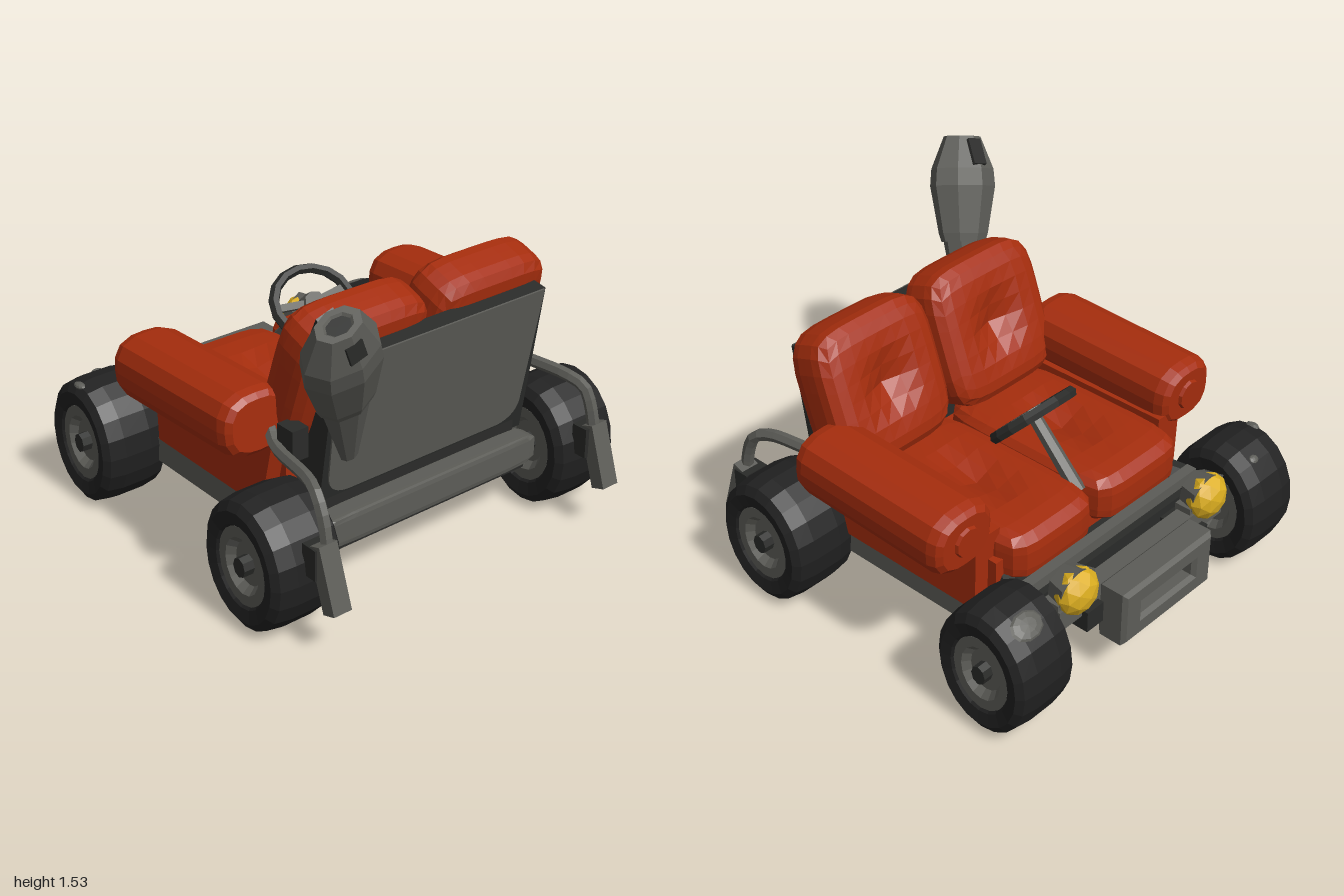
import * as THREE from 'three';

const mat = (name, color) => Object.assign(new THREE.MeshStandardMaterial({ color, flatShading: true }), { name });

export function createModel() {
  const red = mat('orange red upholstery', 0xa52d0d);
  const grey = mat('grey metal', 0x5c5c57);
  const tyreBlack = mat('tyre black', 0x212121);
  const dark = mat('dark frame', 0x2a2b29);
  const yellow = mat('lamp yellow', 0xdcae20);
  const root = new THREE.Group();

  const add = (name, geo, m, x = 0, y = 0, z = 0, parent = root) => {
    const mesh = new THREE.Mesh(geo, m);
    mesh.name = name;
    mesh.position.set(x, y, z);
    parent.add(mesh);
    return mesh;
  };
  const group = (name, x = 0, y = 0, z = 0) => {
    const g = new THREE.Group();
    g.name = name;
    g.position.set(x, y, z);
    root.add(g);
    return g;
  };
  const box = (w, h, d) => new THREE.BoxGeometry(w, h, d);
  const lathe = (pts, sides) => new THREE.LatheGeometry(pts.map(p => new THREE.Vector2(...p)), sides);

  // Puffed box, with an optional tufted dimple in its top face
  const cushion = (w, h, d, n = 6, dent = 0) => {
    const geo = new THREE.BoxGeometry(2, 2, 2, 8, 6, 8);
    const p = geo.attributes.position;
    for (let i = 0; i < p.count; i++) {
      const c = [p.getX(i), p.getY(i), p.getZ(i)];
      const k = Math.pow(c.reduce((s, v) => s + Math.abs(v) ** n, 0), -1 / n);
      const [x, y, z] = c.map(v => v * k);
      const dip = c[1] > 0.9 ? dent * Math.exp(-(x * x + z * z) * 9) : 0;
      p.setXYZ(i, x * w / 2, y * h / 2 - dip, z * d / 2);
    }
    return geo;
  };

  // Cylinder between two points
  const rod = (name, a, b, r1, r2, sides, m) => {
    const va = new THREE.Vector3(...a), dir = new THREE.Vector3(...b).sub(va);
    const mesh = add(name, new THREE.CylinderGeometry(r2, r1, dir.length(), sides), m);
    mesh.position.copy(va).addScaledVector(dir, 0.5);
    mesh.quaternion.setFromUnitVectors(new THREE.Vector3(0, 1, 0), dir.normalize());
    return mesh;
  };

  // Wheels: tyre, recessed rim and hub
  const tyreGeo = lathe([[0.165, -0.14], [0.19, -0.165], [0.25, -0.175], [0.287, -0.15], [0.3, -0.07],
    [0.3, 0.07], [0.287, 0.15], [0.25, 0.175], [0.19, 0.165], [0.165, 0.14]], 20);
  const rimGeo = lathe([[0, -0.12], [0.1, -0.12], [0.13, -0.155], [0.18, -0.155],
    [0.18, 0.155], [0.13, 0.155], [0.1, 0.12], [0, 0.12]], 16);
  const hubGeo = new THREE.CylinderGeometry(0.045, 0.05, 0.34, 8);
  const wheel = (name, x, z, sx, sz) => {
    const g = group(name, x, 0.305, z);
    g.scale.set(sx, 1, sz);
    [['tyre', tyreGeo, tyreBlack], ['rim', rimGeo, grey], ['hub', hubGeo, dark]].forEach(([n, geo, m]) => {
      add(n, geo, m, 0, 0, 0, g).rotation.z = -Math.PI / 2 * Math.sign(x);
    });
  };
  for (const s of [-1, 1]) {
    wheel('rearWheel', s * 0.78, 0.5, 1, 0.86);
    wheel('frontWheel', s * 0.75, -0.757, 0.94, 0.81);
  }
  for (const z of [0.5, -0.757]) rod('axle', [-0.7, 0.305, z], [0.7, 0.305, z], 0.045, 0.045, 8, dark);

  // Worn patches on the front tyres
  for (const [x, y, z, rx, rz] of [[0.77, 0.552, -0.887, 0.085, 0.06], [-0.72, 0.552, -0.885, 0.028, 0.022],
    [-0.885, 0.588, -0.757, 0.022, 0.035]]) {
    const patch = add('tyrePatch', new THREE.SphereGeometry(1, 10, 6), grey, x, y, z);
    patch.scale.set(rx, 0.014, rz);
    patch.rotation.x = z < -0.8 ? -0.69 : 0;
  }

  // Chassis
  add('floorPan', box(0.92, 0.1, 0.76), grey, 0, 0.28, -0.17);
  add('rearFloor', box(1.12, 0.12, 0.24), dark, 0, 0.3, 0.45);
  add('frontFrame', box(0.96, 0.16, 0.18), dark, 0, 0.34, -0.62);
  add('rearBumper', cushion(1.2, 0.14, 0.12, 10), grey, 0.01, 0.335, 0.54);
  add('frontCrossbar', box(1.1, 0.05, 0.05), grey, 0, 0.48, -0.68);
  add('lampBar', box(1.08, 0.1, 0.08), grey, 0, 0.4, -0.82);
  for (const s of [-1, 1]) {
    add('sideRail', box(0.1, 0.12, 0.84), grey, s * 0.59, 0.28, -0.13);
    add('frontRail', box(0.1, 0.1, 0.22), dark, s * 0.35, 0.33, -0.78);
    rod('frontStrut', [s * 0.52, 0.45, -0.55], [s * 0.62, 0.4, -0.72], 0.05, 0.04, 6, dark);
  }

  // Front bumper block with a slot
  const rect = (T, w, h) => {
    const s = new T();
    s.moveTo(-w, -h); s.lineTo(w, -h); s.lineTo(w, h); s.lineTo(-w, h); s.closePath();
    return s;
  };
  const face = rect(THREE.Shape, 0.275, 0.115);
  face.holes.push(rect(THREE.Path, 0.19, 0.055));
  add('frontBumper', new THREE.ExtrudeGeometry(face, {
    depth: 0.11, bevelSize: 0.018, bevelThickness: 0.018, bevelSegments: 1
  }), grey, 0, 0.325, -0.98);
  add('bumperSlot', box(0.44, 0.15, 0.03), dark, 0, 0.325, -0.9);

  // Headlights
  for (const s of [-1, 1]) {
    const x = s * 0.43;
    rod('lampHousing', [x, 0.5, -0.855], [x, 0.51, -0.77], 0.118, 0.09, 6, grey);
    add('lamp', new THREE.IcosahedronGeometry(0.108, 1), yellow, x, 0.5, -0.852).scale.z = 0.72;
    add('lampBracket', box(0.22, 0.1, 0.08), grey, x, 0.43, -0.81);
  }

  // Sofa base, seats and backrest
  add('sofaBase', box(1.16, 0.24, 0.88), red, 0.01, 0.45, -0.12);
  add('backSupport', box(1.06, 0.5, 0.19), dark, 0.02, 0.58, 0.405);
  for (const [x, w] of [[-0.25, 0.57], [0.3, 0.53]])
    add('seatCushion', cushion(w, 0.24, 0.95, 6, 0.06), red, x, 0.565, -0.18);
  for (const [x, w] of [[-0.28, 0.65], [0.385, 0.64]]) {
    const g = group('backCushion', x, 0.95, 0.345);
    g.rotation.x = 0.34;
    add('backPad', cushion(w, 0.27, 0.65, 5, 0.08), red, 0, 0, 0, g).rotation.x = -Math.PI / 2;
  }

  // Armrests: flat-ended rolls over slanted side panels
  const panelShape = new THREE.Shape([[-0.24, 0.34], [0.51, 0.34], [0.52, 0.7], [-0.33, 0.7]]
    .map(p => new THREE.Vector2(...p)));
  const panelGeo = new THREE.ExtrudeGeometry(panelShape, { depth: 0.14, bevelEnabled: false });
  panelGeo.translate(0, 0, -0.07).rotateY(Math.PI / 2);
  const rollGeo = lathe([[0, -0.42], [0.78, -0.42], [0.93, -0.4], [1, -0.36],
    [1, 0.36], [0.93, 0.4], [0.78, 0.42], [0, 0.42]], 16);
  // Square the round section off a little
  const rp = rollGeo.attributes.position;
  for (let i = 0; i < rp.count; i++) {
    const x = rp.getX(i), z = rp.getZ(i), r = Math.hypot(x, z);
    const k = r > 0 ? r / Math.pow(Math.abs(x) ** 2.8 + Math.abs(z) ** 2.8, 1 / 2.8) : 1;
    rp.setXYZ(i, x * k * 0.17, rp.getY(i), z * k * 0.146);
  }
  rollGeo.rotateX(-Math.PI / 2);
  for (const s of [-1, 1]) {
    add('sidePanel', panelGeo, red, 0.01 + s * 0.585, 0, 0);
    const g = group('armrest', 0.02 + s * 0.71, 0.768, -0.112);
    g.rotation.x = -0.035;
    add('armRoll', rollGeo, red, 0, 0, 0, g);
    add('armButton', new THREE.CylinderGeometry(0.065, 0.075, 0.03, 10), red, 0, 0, -0.42, g).rotation.x = -Math.PI / 2;
  }

  // Leaning back panel: dark frame with a grey sheet
  const back = group('backPanel', 0.03, 0.765, 0.51);
  back.rotation.x = 0.16;
  add('panelFrame', box(1.14, 0.72, 0.08), dark, 0, 0, 0, back);
  const sheet = new THREE.Shape();
  sheet.moveTo(-0.56, 0.36);
  sheet.lineTo(-0.54, -0.2);
  sheet.quadraticCurveTo(-0.53, -0.29, -0.42, -0.295);
  sheet.lineTo(0.42, -0.295);
  sheet.quadraticCurveTo(0.52, -0.28, 0.53, -0.2);
  sheet.lineTo(0.56, 0.36);
  add('panelSheet', new THREE.ExtrudeGeometry(sheet, { depth: 0.008, bevelEnabled: false }), grey, 0, 0, 0.04, back);

  // Rear guard pipes and mud flaps
  for (const s of [-1, 1]) {
    const path = new THREE.CatmullRomCurve3([[0.62, 0.74, 0.28], [0.66, 0.7, 0.37], [0.71, 0.685, 0.66],
      [0.735, 0.65, 0.74], [0.74, 0.57, 0.78], [0.745, 0.42, 0.81]].map(([x, y, z]) => new THREE.Vector3(s * x, y, z)));
    add('guardPipe', new THREE.TubeGeometry(path, 16, 0.028, 6), grey);
    add('flapBracket', box(0.12, 0.14, 0.08), dark, s * 0.75, 0.41, 0.77);
    add('pipeBracket', box(0.08, 0.14, 0.1), dark, s * 0.61, 0.73, 0.42);
    add('mudFlap', box(0.09, 0.29, 0.07), grey, s * 0.755, 0.35, 0.835).rotation.x = -0.32;
  }

  // Exhaust: tapered pipe and an oval canister with a dark vent
  rod('exhaustPipe', [-0.525, 0.745, 0.67], [-0.63, 1.08, 0.77], 0.04, 0.115, 8, grey).scale.z = 0.75;
  const can = add('exhaustCanister', lathe([[0, 0], [0.12, 0], [0.135, 0.04], [0.178, 0.26], [0.17, 0.34],
    [0.1, 0.49], [0.065, 0.49], [0, 0.43]], 8), grey, -0.62, 1.06, 0.765);
  can.quaternion.setFromUnitVectors(new THREE.Vector3(0, 1, 0), new THREE.Vector3(-0.17, 0.43, 0.165).normalize());
  can.scale.z = 0.72;
  add('exhaustOpening', new THREE.CylinderGeometry(0.075, 0.075, 0.01, 8), dark, 0, 0.475, 0, can);
  for (const [s, w, h] of [[1, 0.075, 0.08], [-1, 0.08, 0.13]])
    add('exhaustVent', box(w, h, 0.02), dark, 0, 0.415, s * 0.128, can).rotation.x = -s * 0.44;

  // Steering wheel and column
  const steer = group('steeringWheel', 0.045, 0.89, -0.27);
  steer.rotation.x = -Math.PI / 4;
  steer.scale.y = 0.84;
  add('wheelRing', new THREE.TorusGeometry(0.2, 0.027, 6, 16), dark, 0, 0, 0, steer);
  add('wheelHub', new THREE.CylinderGeometry(0.055, 0.065, 0.05, 8), grey, 0, 0, 0, steer).rotation.x = Math.PI / 2;
  for (const a of [0.15, Math.PI - 0.15, -Math.PI / 2 - 0.4, -Math.PI / 2 + 0.4])
    add('wheelSpoke', box(0.18, 0.04, 0.02), grey, Math.cos(a) * 0.1, Math.sin(a) * 0.1, 0, steer).rotation.z = a;
  rod('steeringColumn', [0.045, 0.62, -0.53], [0.045, 0.88, -0.28], 0.035, 0.03, 6, grey);

  return root;
}
